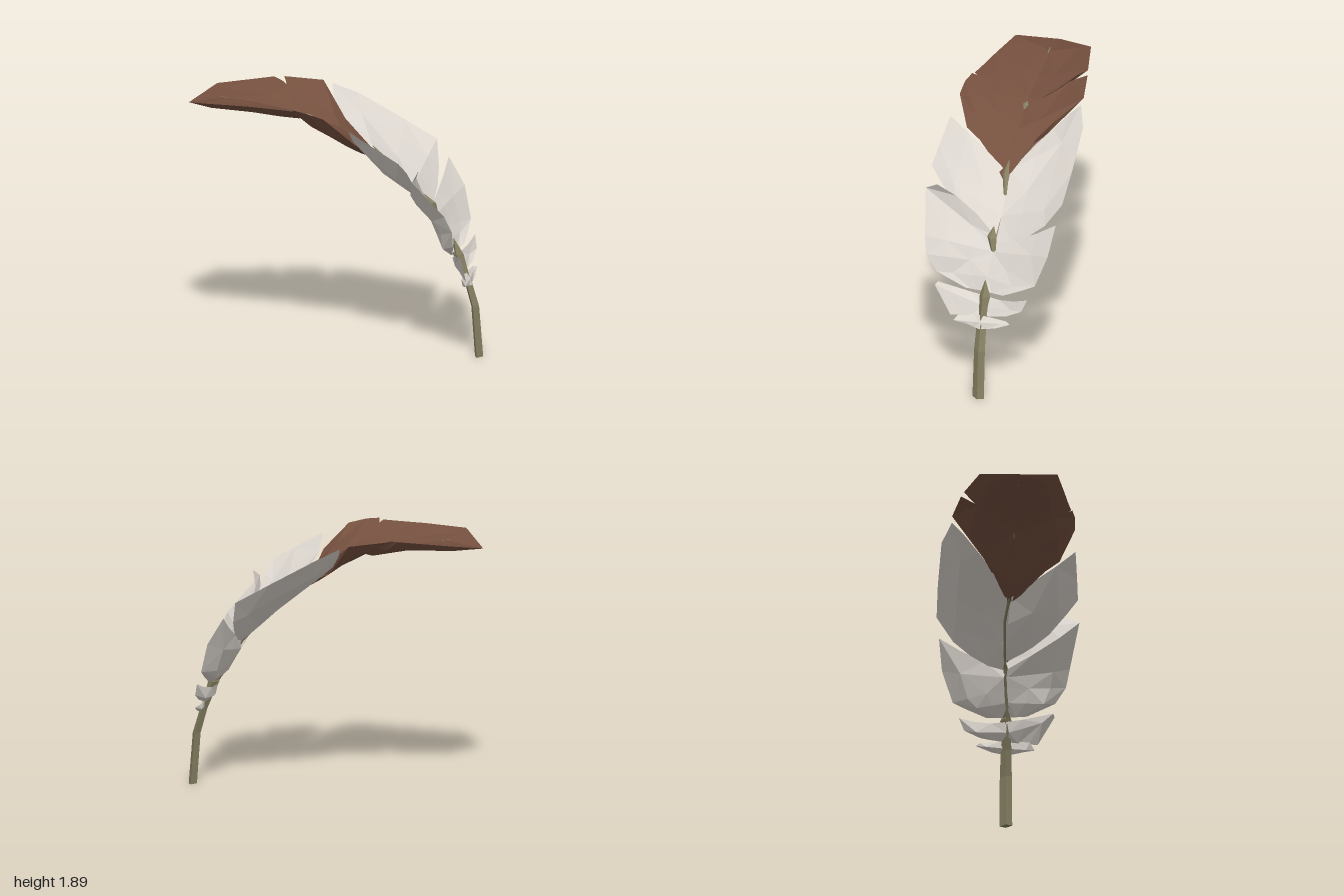
import * as THREE from 'three';

const V = (p) => new THREE.Vector3(...p);
const mat = (name, color) =>
  Object.assign(new THREE.MeshStandardMaterial({ color, flatShading: true, side: THREE.DoubleSide }), { name });

// Closed, cupped vane panel between an edge along the shaft and a free edge.
// side = +1 for the vane on +z, -1 for the vane on -z.
// bulge = how far the first and last rows swell towards the neighbouring panels.
function vane(name, material, side, inner, outer, sag, thick, bulge) {
  const cols = [0, 0.32, 0.68, 1], rows = inner.length;
  const a = inner.map(V), b = outer.map(V);
  const along = a[rows - 1].clone().sub(a[0]).normalize();
  const mid = rows >> 1;
  const normal = along.clone().cross(b[mid].clone().sub(a[mid])).normalize().multiplyScalar(side);
  const pos = [], idx = [];
  for (const under of [0, 1]) {
    for (let i = 0; i < rows; i++) {
      cols.forEach((t, j) => {
        const ripple = 0.7 + 0.3 * ((i + j) % 2), arch = 4 * t * (1 - t);
        const inside = i > 0 && i < rows - 1 && t < 1 ? 1 : 0;
        const drop = arch * sag * ripple + under * thick * inside;
        const swell = i === 0 ? -bulge[0] : i === rows - 1 ? bulge[1] : 0;
        const p = a[i].clone().lerp(b[i], t).addScaledVector(normal, -drop).addScaledVector(along, arch * swell);
        pos.push(p.x, p.y, p.z);
      });
    }
    const base = under * rows * 4;
    for (let i = 0; i < rows - 1; i++) {
      for (let j = 0; j < 3; j++) {
        const p = base + i * 4 + j, q = p + 4;
        const quad = (i + j) % 2 ? [p, q, q + 1, p, q + 1, p + 1] : [p, q, p + 1, q, q + 1, p + 1];
        if ((side < 0) !== (under === 1)) quad.reverse();
        idx.push(...quad);
      }
    }
  }
  return finish(name, material, pos, idx);
}

// Four-sided rod through [x, y, z, halfX, halfZ] stations.
function rod(name, material, stations) {
  const pos = [], idx = [], n = stations.length;
  for (const [x, y, z, rx, rz] of stations) {
    pos.push(x + rx, y, z - rz * 0.2, x + rx * 0.2, y, z + rz, x - rx, y, z + rz * 0.2, x - rx * 0.2, y, z - rz);
  }
  for (let i = 0; i < n - 1; i++) {
    for (let k = 0; k < 4; k++) {
      const p = i * 4 + k, q = i * 4 + ((k + 1) % 4);
      idx.push(p, p + 4, q, q, p + 4, q + 4);
    }
  }
  const e = (n - 1) * 4;
  idx.push(0, 1, 2, 0, 2, 3, e, e + 2, e + 1, e, e + 3, e + 2);
  return finish(name, material, pos, idx);
}

function finish(name, material, pos, idx) {
  const indexed = new THREE.BufferGeometry();
  indexed.setAttribute('position', new THREE.Float32BufferAttribute(pos, 3));
  indexed.setIndex(idx);
  const geometry = indexed.toNonIndexed();
  geometry.computeVertexNormals();
  const mesh = new THREE.Mesh(geometry, material);
  mesh.name = name;
  return mesh;
}

export function createModel() {
  const group = new THREE.Group();
  group.name = 'feather';
  const brown = mat('tipBrown', 0x75503f);
  const white = mat('downWhite', 0xdcd6cf);
  const olive = mat('shaftOlive', 0x868062);

  // Shaft, sinking into the vanes above the foot
  group.add(rod('shaft', olive, [
    [0.96, 0, -0.27, 0.028, 0.046], [0.933, 0.37, -0.262, 0.027, 0.043], [0.885, 0.55, -0.245, 0.025, 0.038],
    [0.80, 0.75, -0.215, 0.018, 0.026], [0.70, 0.91, -0.19, 0.008, 0.01], [0.61, 1.06, -0.17, 0.008, 0.01],
    [0.38, 1.31, -0.1, 0.008, 0.01], [0.26, 1.43, -0.03, 0.006, 0.008],
  ]));

  // Pointed ends of the shaft showing between the vanes
  const spikes = [
    [[0.885, 0.56, -0.24], [0.815, 0.75, -0.225], [0.79, 0.86, -0.21], 0.04],
    [[0.66, 1.03, -0.185], [0.635, 1.12, -0.155], [0.59, 1.18, -0.14], 0.036],
    [[0.40, 1.34, -0.1], [0.31, 1.44, -0.04], [0.24, 1.52, -0.02], 0.024],
    [[-0.15, 1.70, 0.135], [-0.18, 1.725, 0.14], [-0.21, 1.735, 0.145], 0.02],
  ];
  for (const [p, q, r, w] of spikes) {
    group.add(rod('shaftSpike', olive, [[...p, w * 0.5, w * 0.5], [...q, w, w], [...r, 0.002, 0.002]]));
  }
  group.add(rod('shaftEnd', olive, [[-0.71, 1.826, 0.335, 0.004, 0.004], [-0.78, 1.836, 0.36, 0.004, 0.004]]));

  // Brown tip
  const tipSpine = [[-0.18, 1.715, 0.14], [-0.25, 1.745, 0.165], [-0.47, 1.79, 0.24], [-0.75, 1.83, 0.34], [-1, 1.78, 0.43]];
  group.add(vane('tipVaneLeft', brown, 1, tipSpine,
    [[-0.13, 1.87, 0.55], [-0.25, 1.87, 0.565], [-0.45, 1.87, 0.595], [-0.75, 1.86, 0.64], [-1, 1.78, 0.43]],
    0, 0.045, [0.05, 0]));
  group.add(vane('tipVaneRight', brown, -1, tipSpine,
    [[-0.52, 1.88, -0.07], [-0.55, 1.885, -0.08], [-0.6, 1.89, -0.1], [-0.94, 1.85, 0.12], [-1, 1.78, 0.43]],
    0, 0.045, [0.05, 0]));

  // Brown middle
  const brownSpine = [[0.34, 1.41, -0.04], [0.2, 1.52, 0.02], [0.02, 1.645, 0.06], [-0.18, 1.715, 0.14]];
  group.add(vane('brownVaneLeft', brown, 1, brownSpine,
    [[0.24, 1.66, 0.35], [0.12, 1.83, 0.5], [0.0, 1.865, 0.54], [-0.1, 1.88, 0.55]], 0.02, 0.06, [-0.05, 0.04]));
  group.add(vane('brownVaneRight', brown, -1, brownSpine,
    [[0.05, 1.57, -0.07], [-0.13, 1.73, -0.17], [-0.3, 1.86, -0.28], [-0.54, 1.89, -0.14]], 0.01, 0.06, [0.03, 0.04]));

  // Upper white vanes
  group.add(vane('upperVaneLeft', white, 1,
    [[0.62, 1.1, -0.17], [0.5, 1.22, -0.14], [0.4, 1.32, -0.1], [0.28, 1.45, -0.02]],
    [[0.67, 1.45, 0.27], [0.65, 1.54, 0.36], [0.5, 1.63, 0.4], [0.3, 1.75, 0.45]], 0.04, 0.045, [0.04, 0.02]));
  group.add(vane('upperVaneRight', white, -1,
    [[0.62, 1.05, -0.17], [0.5, 1.22, -0.14], [0.4, 1.32, -0.1], [0.25, 1.45, -0.04], [0.02, 1.57, -0.09]],
    [[0.5, 1.27, -0.52], [0.43, 1.44, -0.62], [0.2, 1.58, -0.54], [-0.1, 1.76, -0.42], [-0.24, 1.84, -0.3]],
    0.025, 0.045, [0.03, 0.04]));

  // Lower white vanes
  const lowSpine = [[0.8, 0.77, -0.21], [0.75, 0.86, -0.2], [0.7, 0.95, -0.19], [0.66, 1.02, -0.18], [0.63, 1.07, -0.17]];
  group.add(vane('lowerVaneLeft', white, 1, [...lowSpine, [0.61, 1.12, -0.165]],
    [[0.85, 0.78, -0.08], [0.95, 0.9, 0.1], [0.98, 1.03, 0.17], [0.94, 1.15, 0.21], [0.75, 1.41, 0.34], [0.75, 1.47, 0.24]],
    0.03, 0.045, [0, 0.04]));
  group.add(vane('lowerVaneRight', white, -1, lowSpine,
    [[0.79, 0.78, -0.36], [0.75, 0.85, -0.5], [0.72, 0.9, -0.59], [0.64, 1.12, -0.645], [0.52, 1.32, -0.63]],
    0.02, 0.045, [0, -0.02]));

  // Downy tufts at the foot of the vanes
  const tuftSpine = [[0.87, 0.61, -0.23], [0.83, 0.67, -0.22], [0.79, 0.73, -0.21]];
  group.add(vane('tuftLeft', white, 1, tuftSpine,
    [[0.98, 0.61, -0.04], [1.0, 0.82, 0.08], [0.96, 0.83, 0.08]], 0.02, 0.03, [0, 0]));
  group.add(vane('tuftRight', white, -1, tuftSpine,
    [[0.83, 0.65, -0.42], [0.8, 0.71, -0.53], [0.77, 0.8, -0.56]], 0.02, 0.03, [0, -0.02]));
  const footSpine = [[0.92, 0.53, -0.245], [0.905, 0.575, -0.24], [0.88, 0.62, -0.235]];
  group.add(vane('footTuftLeft', white, 1, footSpine,
    [[0.94, 0.55, -0.12], [0.97, 0.565, -0.06], [0.92, 0.61, -0.08]], 0.01, 0.03, [0, 0]));
  group.add(vane('footTuftRight', white, -1, footSpine,
    [[0.88, 0.55, -0.35], [0.84, 0.6, -0.46], [0.83, 0.61, -0.42]], 0.01, 0.03, [0, 0]));

  return group;
}
